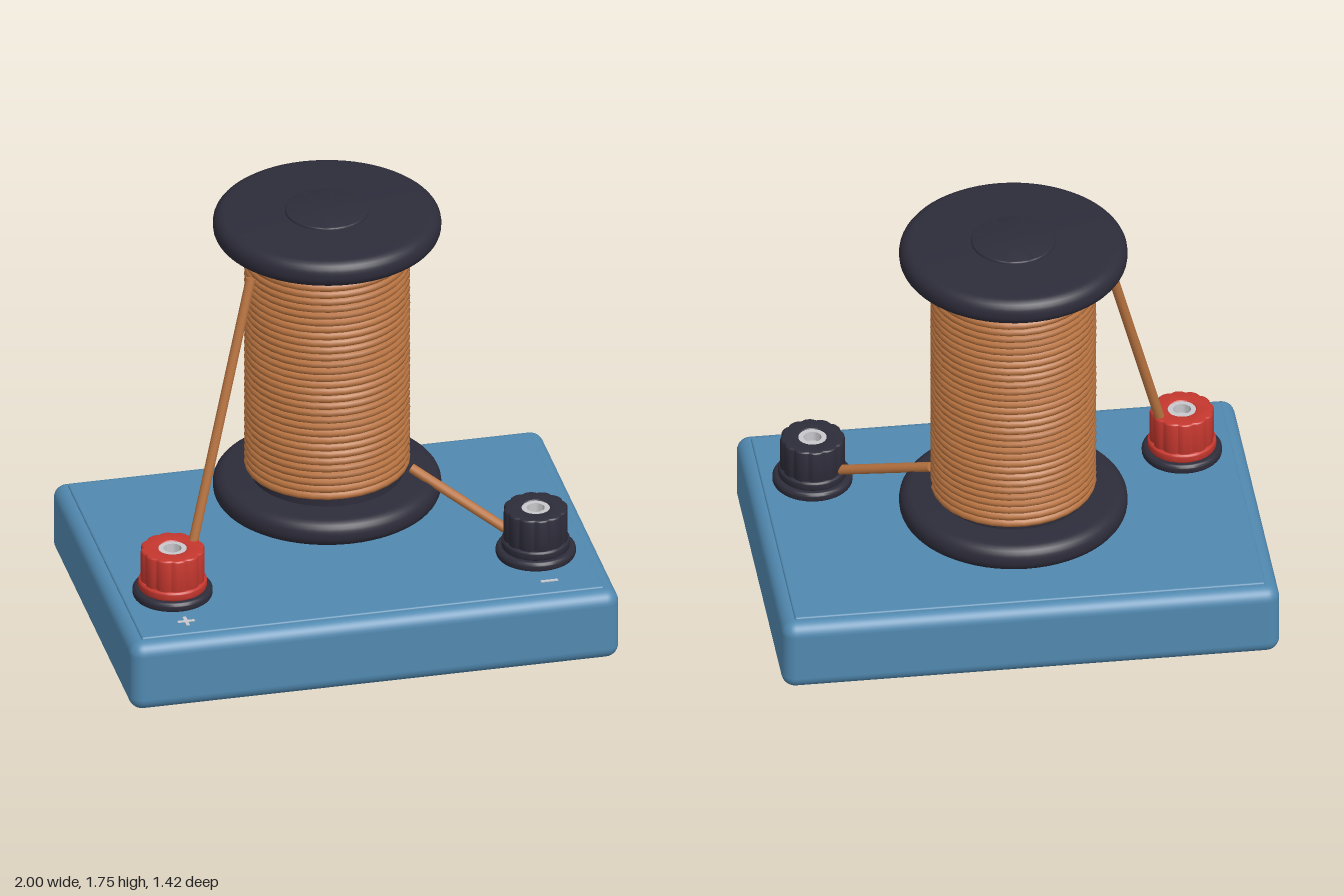
import * as THREE from 'three';
import { toCreasedNormals } from 'three/addons/utils/BufferGeometryUtils.js';
import { RoundedBoxGeometry } from 'three/addons/geometries/RoundedBoxGeometry.js';

const material = (name, color) => {
  const m = new THREE.MeshStandardMaterial({ color });
  m.name = name;
  return m;
};

export function createModel() {
  const blue = material('blue base', 0x5189b0);
  const dark = material('dark plastic', 0x2d2c3a);
  const copper = material('copper wire', 0xb87340);
  const red = material('red plastic', 0xc4372e);
  const silver = material('silver metal', 0xc8c8cc);

  const model = new THREE.Group();
  model.name = 'electromagnetCoil';

  const add = (parent, name, geometry, mat, x = 0, y = 0, z = 0) => {
    const mesh = new THREE.Mesh(geometry, mat);
    mesh.name = name;
    mesh.position.set(x, y, z);
    parent.add(mesh);
    return mesh;
  };

  // Disc with rounded rims, standing on y = 0
  const roundedDisc = (radius, height, round, segments = 64) => {
    const pts = [new THREE.Vector2(0, 0)];
    for (let i = 0; i <= 6; i++) {
      const a = -Math.PI / 2 + (i / 6) * (Math.PI / 2);
      pts.push(new THREE.Vector2(radius - round + Math.cos(a) * round, round + Math.sin(a) * round));
    }
    for (let i = 0; i <= 6; i++) {
      const a = (i / 6) * (Math.PI / 2);
      pts.push(new THREE.Vector2(radius - round + Math.cos(a) * round, height - round + Math.sin(a) * round));
    }
    pts.push(new THREE.Vector2(0, height));
    return toCreasedNormals(new THREE.LatheGeometry(pts, segments), 0.6);
  };

  // Base block, its slightly raised top and four feet
  add(model, 'base', new RoundedBoxGeometry(2, 0.302, 1.42, 4, 0.055), blue, 0, 0.186, 0);
  add(model, 'baseTop', new RoundedBoxGeometry(1.89, 0.04, 1.31, 2, 0.008), blue, 0, 0.325, 0);
  for (const x of [-0.72, 0.72]) {
    for (const z of [-0.445, 0.445]) {
      add(model, 'foot', new RoundedBoxGeometry(0.3, 0.06, 0.23, 3, 0.018), dark, x, 0.03, z);
    }
  }

  // Spool: core, two flanges and the cap on top
  const spool = new THREE.Group();
  spool.name = 'spool';
  spool.position.z = -0.157;
  model.add(spool);
  add(spool, 'core', new THREE.CylinderGeometry(0.305, 0.305, 1.14, 48), dark, 0, 1.09, 0);
  add(spool, 'bottomFlange', roundedDisc(0.455, 0.113, 0.05), dark, 0, 0.446, 0);
  add(spool, 'topFlange', roundedDisc(0.455, 0.113, 0.05), dark, 0, 1.623, 0);
  add(spool, 'topCap', roundedDisc(0.168, 0.03, 0.006, 48), dark, 0, 1.716, 0);

  // Winding: one wire wound around the core
  class Helix extends THREE.Curve {
    constructor(radius, bottom, top, turns) {
      super();
      Object.assign(this, { radius, bottom, top, turns });
    }
    getPoint(t, target = new THREE.Vector3()) {
      const a = t * this.turns * Math.PI * 2;
      return target.set(
        Math.cos(a) * this.radius,
        this.bottom + t * (this.top - this.bottom),
        -Math.sin(a) * this.radius
      );
    }
  }
  const turns = 32;
  const winding = new Helix(0.314, 0.59, 1.598, turns);
  winding.arcLengthDivisions = turns * 40;
  add(spool, 'winding', new THREE.TubeGeometry(winding, turns * 32, 0.0175, 8), copper);

  // Straight leads from the coil to the terminals
  const lead = (name, a, b) => {
    const start = new THREE.Vector3(...a);
    const dir = new THREE.Vector3(...b).sub(start);
    const mesh = add(model, name, new THREE.CylinderGeometry(0.02, 0.02, dir.length(), 12), copper);
    mesh.position.copy(start).addScaledVector(dir, 0.5);
    mesh.quaternion.setFromUnitVectors(new THREE.Vector3(0, 1, 0), dir.normalize());
  };
  lead('rightLead', [-0.665, 0.48, 0.29], [-0.368, 1.602, 0.085]);
  lead('leftLead', [0.665, 0.415, 0.275], [0.315, 0.597, -0.025]);

  // Fluted knob outline with a round socket hole
  const knobGeometry = () => {
    const shape = new THREE.Shape();
    const n = 96;
    for (let i = 0; i < n; i++) {
      const a = (i / n) * Math.PI * 2;
      const r = 0.117 - 0.008 * Math.pow(Math.abs(Math.sin(a * 6)), 4);
      shape[i ? 'lineTo' : 'moveTo'](Math.cos(a) * r, Math.sin(a) * r);
    }
    shape.closePath();
    const hole = new THREE.Path();
    hole.absarc(0, 0, 0.066, 0, Math.PI * 2, true);
    shape.holes.push(hole);
    const g = new THREE.ExtrudeGeometry(shape, {
      depth: 0.126, bevelEnabled: true, bevelThickness: 0.012, bevelSize: 0.012, bevelSegments: 3, curveSegments: 16,
    });
    g.rotateX(-Math.PI / 2);
    return toCreasedNormals(g, 0.5);
  };

  // Metal socket with a recessed floor
  const socketProfile = [[0.058, 0], [0.058, 0.15], [0.036, 0.15], [0.036, 0.11], [0, 0.11]]
    .map(([x, y]) => new THREE.Vector2(x, y));

  const terminal = (name, x, mat) => {
    const group = new THREE.Group();
    group.name = name;
    group.position.set(x, 0.34, 0.32);
    model.add(group);
    add(group, 'washer', roundedDisc(0.16, 0.042, 0.015, 40), dark);
    add(group, 'collar', roundedDisc(0.137, 0.04, 0.01, 40), mat, 0, 0.038, 0);
    add(group, 'knob', knobGeometry(), mat, 0, 0.077, 0);
    add(group, 'socket', toCreasedNormals(new THREE.LatheGeometry(socketProfile, 32), 0.5), silver, 0, 0.06, 0);
  };
  terminal('rightTerminal', -0.742, red);
  terminal('leftTerminal', 0.742, dark);

  // Polarity marks
  const bar = (w, d) => new THREE.BoxGeometry(w, 0.004, d);
  add(model, 'plusMarkAcross', bar(0.07, 0.014), silver, -0.742, 0.346, 0.56);
  for (const s of [-1, 1]) {
    add(model, 'plusMarkUpright', bar(0.014, 0.028), silver, -0.742, 0.346, 0.56 + s * 0.021);
  }
  add(model, 'minusMark', bar(0.07, 0.014), silver, 0.742, 0.346, 0.56);

  return model;
}
